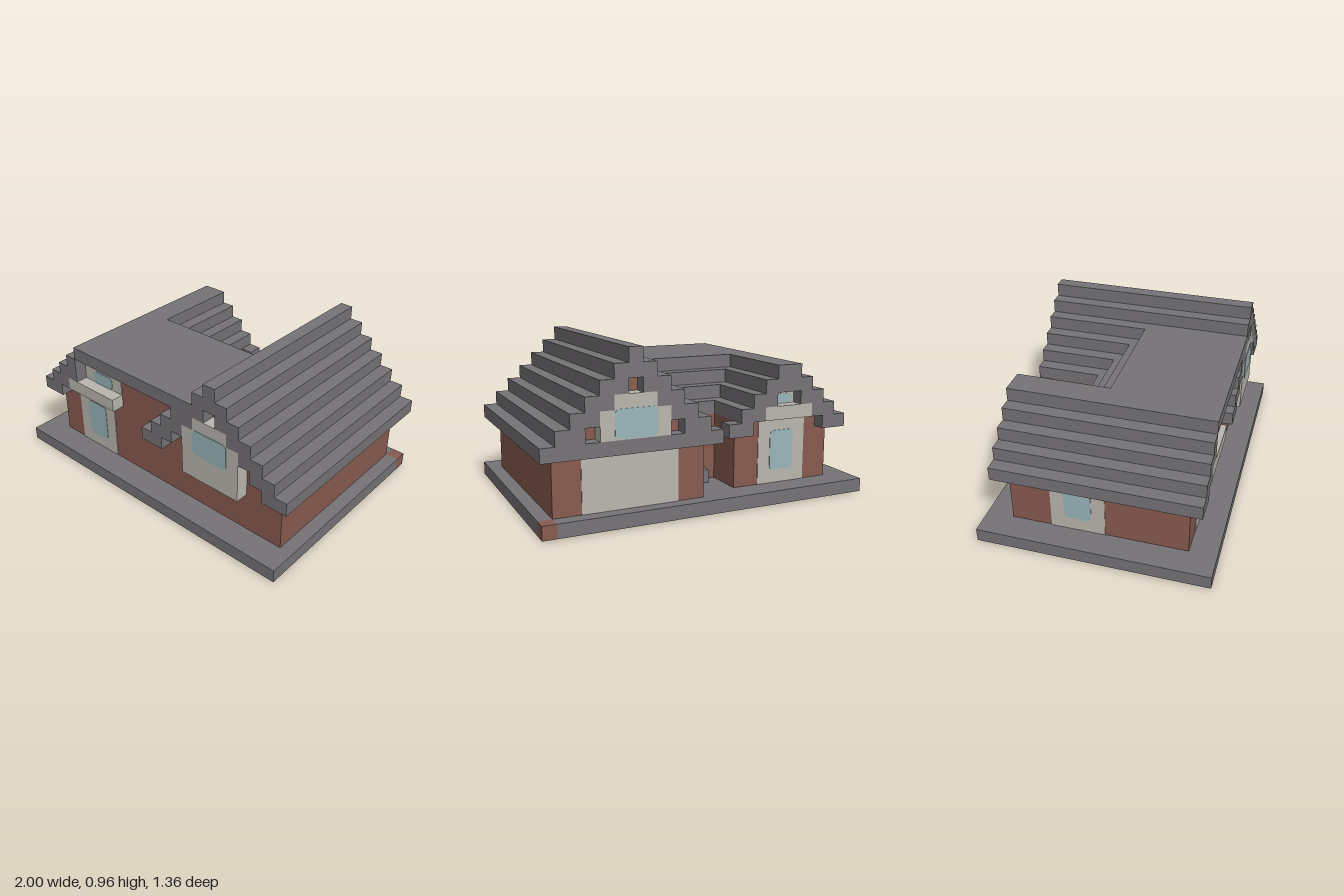
import * as THREE from 'three';

const U = 0.08; // block size

export function createModel() {
  const mat = (name, color) => Object.assign(new THREE.MeshStandardMaterial({ color }), { name });
  const stone = mat('stone', 0x767377), brick = mat('brick', 0x885b50), plaster = mat('plaster', 0xbab7af);
  const glass = mat('glass', 0x9ab5bb), wood = mat('wood', 0x92743f);
  const house = new THREE.Group();
  house.name = 'house';

  const box = (name, m, x0, x1, y0, y1, z0, z1) => {
    const mesh = new THREE.Mesh(new THREE.BoxGeometry(x1 - x0, y1 - y0, z1 - z0), m);
    mesh.position.set((x0 + x1) / 2, (y0 + y1) / 2, (z0 + z1) / 2);
    mesh.name = name;
    house.add(mesh);
    return mesh;
  };

  // Thin plate with clipped corners, centred on a point; turned by rx or ry
  const plate = (name, m, w, h, x, y, z, rx = 0, ry = 0) => {
    const c = 0.018, a = w / 2, b = h / 2;
    const s = new THREE.Shape([[-a + c, -b], [a - c, -b], [a, -b + c], [a, b - c],
      [a - c, b], [-a + c, b], [-a, b - c], [-a, -b + c]].map(p => new THREE.Vector2(...p)));
    const g = new THREE.ExtrudeGeometry(s, { depth: 0.006, bevelEnabled: false }).translate(0, 0, -0.003);
    const mesh = new THREE.Mesh(g, m);
    mesh.position.set(x, y, z);
    mesh.rotation.set(rx, ry, 0);
    mesh.name = name;
    house.add(mesh);
  };

  // Base slab with one brick corner
  box('base', stone, -1, 1, 0, U, -0.6, 0.68);
  box('base', stone, -1, 0.92, 0, U, -0.68, -0.6);
  box('baseCorner', brick, 0.92, 1, 0, U, -0.68, -0.6);

  // Floor patches showing underneath
  box('floorPatch', wood, -0.76, -0.04, -0.002, 0.004, -0.04, 0.52);
  box('floorPatch', brick, -0.76, -0.36, -0.002, 0.004, -0.36, -0.04);
  plate('floorPatch', plaster, 0.24, 0.32, 0.4, 0, 0.04, Math.PI / 2);

  // Walls: front block and two rear wings around a courtyard
  box('frontWalls', brick, -0.84, 0.92, U, 0.48, -0.28, 0.52);
  box('narrowWingWalls', brick, -0.84, -0.2, U, 0.48, -0.52, -0.28);
  box('wideWingWalls', brick, 0.04, 0.92, U, 0.48, -0.6, -0.28);

  // Stepped roofs of both wings, with brick gable infill and stepped rims
  const wings = [
    { c: -0.52, hw: 0.4, n: 5, back: -0.52 },
    { c: 0.48, hw: 0.52, n: 7, back: -0.6 },
  ];
  for (const { c, hw, n, back } of wings) {
    const side = Math.sign(c);
    for (let i = 0; i < n; i++) {
      const h = hw - i * U, y0 = 0.4 + i * U, y1 = y0 + U;
      if (i === 0) {
        const e = [c + side * h, c + side * (h - U)].sort((p, q) => p - q);
        box('eave', stone, ...e, y0, y1, back + 0.01, 0.51);
      } else {
        box('roofStep', stone, c - h, c + h, y0, y1, back + 0.01, 0.51);
        if (h > U) box('gableInfill', brick, c - h + U, c + h - U, y0, y1, back, back + 0.02);
        if (h > U && side > 0) box('gableInfill', brick, c - h + U, c + h - U, y0, y1, 0.5, 0.52);
      }
      // Rim stones are two blocks wide on either slope
      const rim = h > 2 * U + 0.001 ? [[c - h, c - h + 2 * U], [c + h - 2 * U, c + h]] : [[c - h, c + h]];
      for (const r of rim) {
        box('gableRim', stone, ...r, y0, y1, back - U, back + 0.01);
        if (side > 0) box('gableRim', stone, ...r, y0, y1, 0.51, 0.6);
      }
      if (side < 0 && i < 4) box('gableRim', stone, c - h, i === 3 ? -0.6 : c - h + 2 * U, y0, y1, 0.51, 0.6);
    }
  }
  box('gableBeam', stone, 0.12, 0.84, 0.4, 0.48, -0.68, -0.59);

  // Middle roof, stepping down into the courtyard
  for (let i = 1; i < 5; i++) {
    const y = 0.4 + i * U;
    box('middleRoof', stone, -0.52, 0.48, y, y + U, -0.28 + (i - 1) * U, 0.51);
    if (i < 4) box('frontInfill', brick, -0.84 + i * U, 0.3, y, y + U, 0.5, 0.52);
  }
  box('frontEave', stone, -0.6, 0.44, 0.72, 0.8, 0.51, 0.6);

  // Front and rear doors of the narrow wing, each with a canopy
  for (const [z, s, right] of [[0.52, 1, -0.28], [-0.52, -1, -0.36]]) {
    box('door', plaster, -0.68, -0.36, U, 0.52, z - 0.004, z + 0.004);
    plate('doorGlass', glass, 0.16, 0.24, -0.52, 0.28, z + s * 0.004);
    box('canopy', plaster, -0.68, right, 0.48, 0.56, Math.min(z, z + s * U), Math.max(z, z + s * U));
  }
  box('upperWindow', plaster, -0.6, -0.28, 0.56, 0.72, 0.516, 0.524);
  plate('upperGlass', glass, 0.16, 0.08, -0.44, 0.6, 0.524);
  box('rearUpperWindow', plaster, -0.6, -0.44, 0.56, 0.64, -0.524, -0.516);
  plate('rearUpperGlass', glass, 0.13, 0.06, -0.52, 0.59, -0.524);

  // Stepped bay windows in both gables of the wide wing
  for (const [z0, z1, face, sill] of [[0.51, 0.6, 0.6, 0.32], [-0.68, -0.59, -0.68, 0.48]]) {
    box('bayWindow', plaster, 0.28, 0.68, sill, 0.64, z0, z1);
    box('bayWindowTop', plaster, 0.36, 0.6, 0.64, 0.72, z0, z1);
    plate('bayGlass', glass, 0.24, 0.16, 0.48, 0.565, face);
  }

  // Wide rear door
  box('garageDoor', plaster, 0.2, 0.76, U, 0.4, -0.604, -0.596);

  // Side door
  box('sideDoor', plaster, -0.844, -0.836, U, 0.4, -0.28, 0.04);
  plate('sideDoorGlass', glass, 0.16, 0.24, -0.844, 0.28, -0.12, 0, Math.PI / 2);

  // Courtyard door and step
  box('courtyardDoor', plaster, -0.12, 0.04, 0.16, 0.48, -0.284, -0.276);
  box('courtyardStep', stone, -0.12, 0.04, U, 0.16, -0.36, -0.28);

  return house;
}
